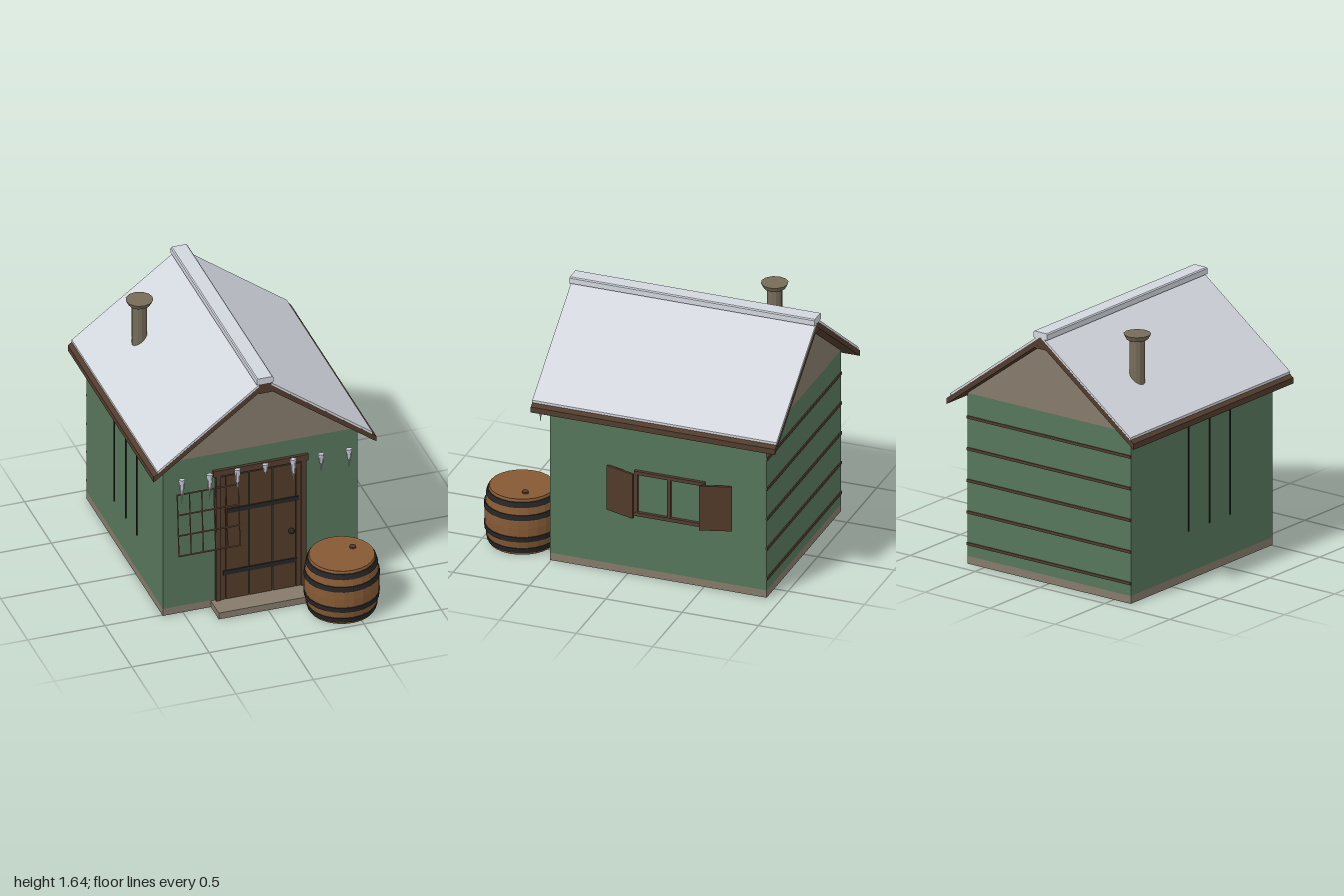
import * as THREE from 'three';

const mat = (name, color, extra = {}) => {
  const m = new THREE.MeshStandardMaterial({ color, ...extra });
  m.name = name;
  return m;
};

export function createModel() {
  const green = mat('green paint', 0x56765a);
  const stone = mat('stone', 0x857a6a);
  const clay = mat('chimney clay', 0x766c58, { flatShading: true });
  const timber = mat('dark timber', 0x513c2d);
  const doorWood = mat('door wood', 0x523a2a);
  const snow = mat('snow', 0xd2d6dd);
  const ice = mat('ice', 0xc6cad6);
  const iron = mat('iron', 0x262626);
  const oak = mat('barrel oak', 0x865a34);
  const lath = mat('trellis wood', 0x7c5a3e);

  const root = new THREE.Group();
  root.name = 'cottage';
  const add = (name, geo, material, parent = root) => {
    const m = new THREE.Mesh(geo, material);
    m.name = name;
    parent.add(m);
    return m;
  };
  const group = (name) => {
    const g = new THREE.Group();
    g.name = name;
    root.add(g);
    return g;
  };
  // box given by its minimum and maximum on each axis
  const box = (name, x0, x1, y0, y1, z0, z1, material, parent) => {
    const m = add(name, new THREE.BoxGeometry(x1 - x0, y1 - y0, z1 - z0), material, parent);
    m.position.set((x0 + x1) / 2, (y0 + y1) / 2, (z0 + z1) / 2);
    return m;
  };
  // front outline pushed along z
  const prism = (name, pts, z0, z1, material, parent) => {
    const shape = new THREE.Shape(pts.map(([x, y]) => new THREE.Vector2(x, y)));
    const geo = new THREE.ExtrudeGeometry(shape, { depth: z1 - z0, bevelEnabled: false });
    return add(name, geo.translate(0, 0, z0), material, parent);
  };
  // thin round rod between two points
  const rod = (name, a, b, r, material, parent) => {
    const path = new THREE.LineCurve3(new THREE.Vector3(...a), new THREE.Vector3(...b));
    return add(name, new THREE.TubeGeometry(path, 1, r, 6), material, parent);
  };

  // walls
  box('footing', -0.63, 0.63, 0, 0.05, -0.91, 0.51, stone);
  box('walls', -0.63, 0.63, 0.05, 1.1, -0.91, 0.51, green);
  prism('gables', [[-0.63, 1.1], [0.63, 1.1], [0, 1.567]], -0.91, 0.51, stone);

  // roof
  const roof = group('roof');
  prism('roofBoards', [[-0.72, 1.035], [0, 1.57], [0.72, 1.035], [0.72, 1.072], [0, 1.612], [-0.72, 1.072]],
    -1, 0.6, timber, roof);
  prism('roofSnow', [[-0.695, 1.091], [0, 1.612], [0.695, 1.091], [0.695, 1.107], [0, 1.628], [-0.695, 1.107]],
    -1, 0.6, snow, roof);
  box('ridgeBeam', -0.04, 0.04, 1.535, 1.605, -0.998, 0.603, timber, roof);
  prism('ridgeSnow', [[-0.055, 1.603], [0.052, 1.603], [0.052, 1.638], [0.045, 1.645], [-0.048, 1.645], [-0.055, 1.638]],
    -1, 0.604, snow, roof);

  // chimney
  const chimney = group('chimney');
  chimney.position.set(-0.41, 0, -0.56);
  add('chimneyPipe', new THREE.CylinderGeometry(0.048, 0.048, 0.4, 12), clay, chimney).position.y = 1.385;
  add('chimneyCap', new THREE.CylinderGeometry(0.085, 0.068, 0.032, 12), clay, chimney).position.y = 1.588;

  // door
  const door = group('door');
  box('doorstep', -0.32, 0.32, 0, 0.045, 0.5, 0.66, stone, door);
  box('lintel', -0.308, 0.305, 0.943, 0.985, 0.5, 0.53, timber, door);
  for (const s of [-1, 1]) {
    const x = s * 0.275;
    box('doorPost', x - 0.016, x + 0.016, 0.045, 0.943, 0.5, 0.528, timber, door);
    const e = s * 0.244;
    box('edgePlank', e - 0.015, e + 0.015, 0.045, 0.93, 0.5, 0.52, doorWood, door);
  }
  for (const x of [-0.152, 0, 0.152])
    box('doorPlank', x - 0.072, x + 0.072, 0.045, 0.93, 0.5, 0.52, doorWood, door);
  box('upperStrap', -0.232, 0.243, 0.665, 0.695, 0.515, 0.527, iron, door);
  box('lowerStrap', -0.245, 0.23, 0.222, 0.252, 0.515, 0.527, iron, door);
  add('doorKnob', new THREE.SphereGeometry(0.019, 12, 8), iron, door).position.set(0.195, 0.455, 0.53);

  // side window with open shutters
  const win = group('window');
  for (const y of [0.427, 0.709]) box('windowRail', 0.62, 0.652, y - 0.012, y + 0.012, -0.51, -0.05, timber, win);
  for (const z of [-0.06, -0.275, -0.497])
    box('windowStile', 0.62, 0.648, 0.43, 0.705, z - 0.011, z + 0.011, timber, win);
  for (const [z, s] of [[0.036, 1], [-0.588, -1]]) {
    const shutter = box('shutter', -0.008, 0.008, 0.417, 0.72, -0.1, 0.1, doorWood, win);
    shutter.position.x = 0.661;
    shutter.position.z = z;
    shutter.rotation.y = -s * 0.3;
  }

  // back battens and rods along the left wall
  for (let i = 0; i < 5; i++) {
    const y = 0.13 + i * 0.204;
    box('backBatten', -0.63, 0.63, y - 0.009, y + 0.009, -0.917, -0.9, timber);
  }
  for (const z of [-0.35, -0.14, 0.065]) rod('wallRod', [-0.645, 0.32, z], [-0.645, 1.01, z], 0.005, iron);

  // leaning trellis
  const trellis = group('trellis');
  const zAt = (y) => 0.556 + (0.885 - y) * 0.078;
  for (let i = 0; i < 6; i++) {
    const x = -0.553 + i * 0.079;
    rod('trellisUpright', [x, 0.465, zAt(0.465)], [x, 0.885, zAt(0.885)], 0.004, lath, trellis);
  }
  for (const y of [0.46, 0.6, 0.742, 0.882])
    rod('trellisBar', [-0.557, y, zAt(y)], [-0.154, y, zAt(y)], 0.005, lath, trellis);

  // icicles, each a long spike with two short ones
  const icicles = group('icicles');
  const lengths = [0.18, 0.19, 0.185, 0.1, 0.19, 0.13, 0.14];
  lengths.forEach((len, i) => {
    const x = -0.54 + i * 0.18;
    for (const [dx, r, l] of [[0, 0.016, len], [-0.011, 0.01, len * 0.6], [0.011, 0.01, len * 0.75]]) {
      const c = add('icicle', new THREE.ConeGeometry(r, l, 8), ice, icicles);
      c.rotation.x = Math.PI;
      c.position.set(x + dx, 1.022 - l / 2, 0.605);
    }
  });

  // barrel
  const barrel = group('barrel');
  barrel.position.set(0.438, 0, 0.765);
  const radiusAt = (y) => 0.232 - 0.03 * ((y - 0.19) / 0.19) ** 2;
  const profile = [[0, 0.005], [0.19, 0.005]];
  for (let i = 0; i <= 8; i++) profile.push([radiusAt(i * 0.0475), i * 0.0475]);
  profile.push([0.192, 0.376], [0, 0.376]);
  const staves = new THREE.LatheGeometry(profile.map(([r, y]) => new THREE.Vector2(r, y)), 24).toNonIndexed();
  staves.computeVertexNormals();
  add('barrelBody', staves, oak, barrel);
  for (const y of [0.033, 0.115, 0.263, 0.345]) {
    const top = radiusAt(y + 0.017) + 0.006, low = radiusAt(y - 0.017) + 0.006;
    const hoop = add('barrelHoop', new THREE.CylinderGeometry(top, low, 0.034, 24), iron, barrel);
    hoop.position.y = y;
  }
  add('bung', new THREE.CylinderGeometry(0.021, 0.021, 0.016, 10), doorWood, barrel).position.set(0.09, 0.379, -0.055);

  return root;
}
